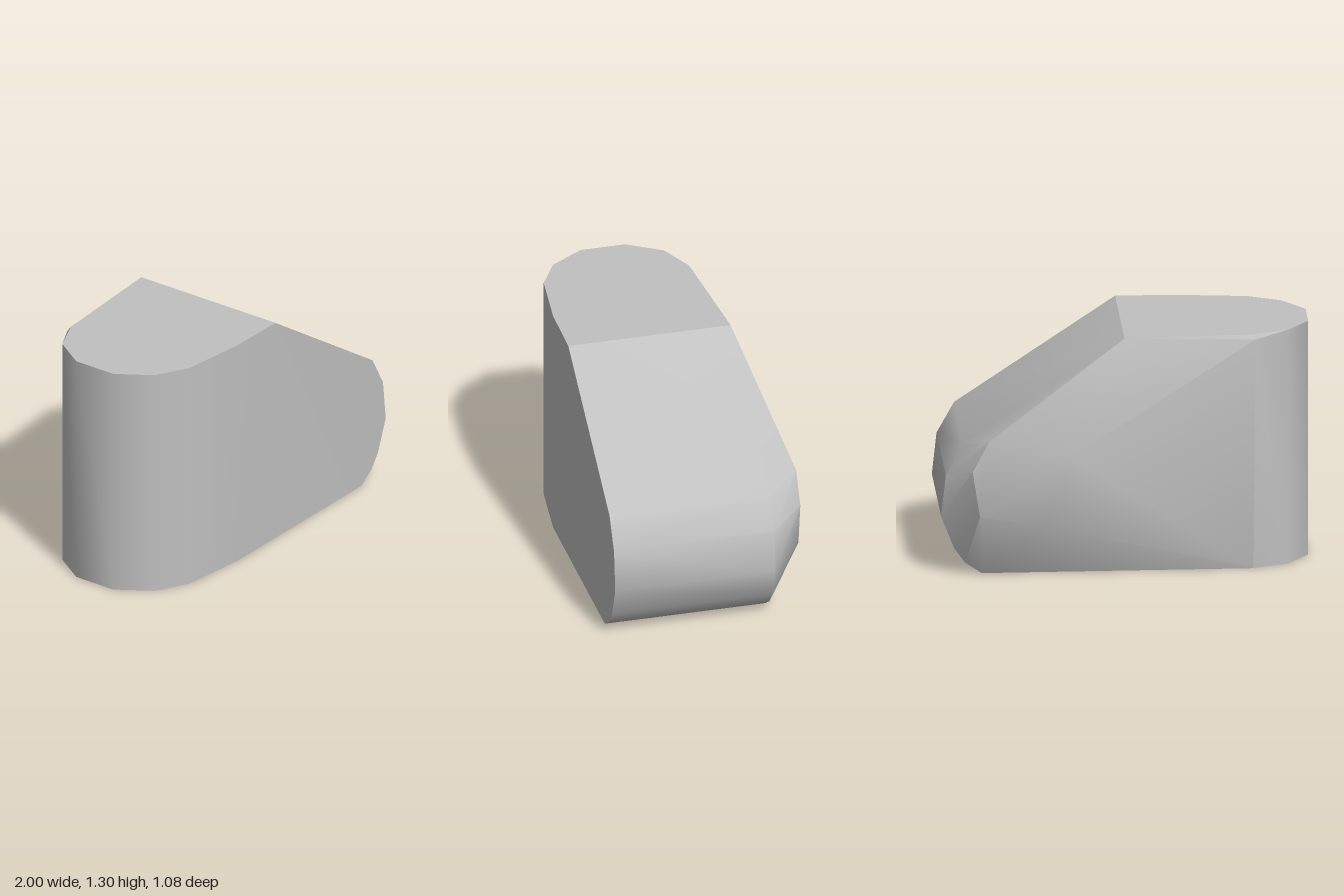
import * as THREE from 'three';
import { ConvexGeometry } from 'three/addons/geometries/ConvexGeometry.js';
import { toCreasedNormals } from 'three/addons/utils/BufferGeometryUtils.js';

export function createModel() {
  const group = new THREE.Group();
  const grey = new THREE.MeshStandardMaterial({ color: 0xc0c0c0 });
  grey.name = 'stone grey';
  const points = [];
  const add = (x, y, z) => points.push(new THREE.Vector3(x, y, z));

  // Rounded left end: the same [x, z] outline at the bottom and the top
  const outline = [[-0.69, -0.32], [-0.88, -0.235], [-1, -0.05], [-1, 0.2],
    [-0.88, 0.385], [-0.7, 0.485], [-0.33, 0.53]];
  for (const [x, z] of outline) {
    add(x, 0.005, z);
    add(x, 1.31, z);
  }
  add(-0.7, 1.285, -0.335);

  // Top edge where the slope begins
  add(0.01, 1.31, -0.37);
  add(0.01, 1.31, 0.535);

  // Rounded right end: one [x, y] profile carried from back to front
  const profile = [[0.88, 0.73], [0.975, 0.56], [1, 0.33], [0.93, 0.15], [0.87, 0.07], [0.78, 0.01]];
  for (const [x, y] of profile) {
    add(x, y, -0.36);
    add(x, y, 0.535);
  }

  // Flat bulge on the back
  const bulge = [[0.75, 0.79], [0.84, 0.62], [0.8, 0.37], [0.45, 0.31], [0.3, 0.7]];
  for (const [x, y] of bulge) add(x, y, -0.54);

  // Smooth round ends, sharp slope and rim edges
  const body = new THREE.Mesh(toCreasedNormals(new ConvexGeometry(points), 0.581), grey);
  body.name = 'body';
  group.add(body);
  return group;
}
